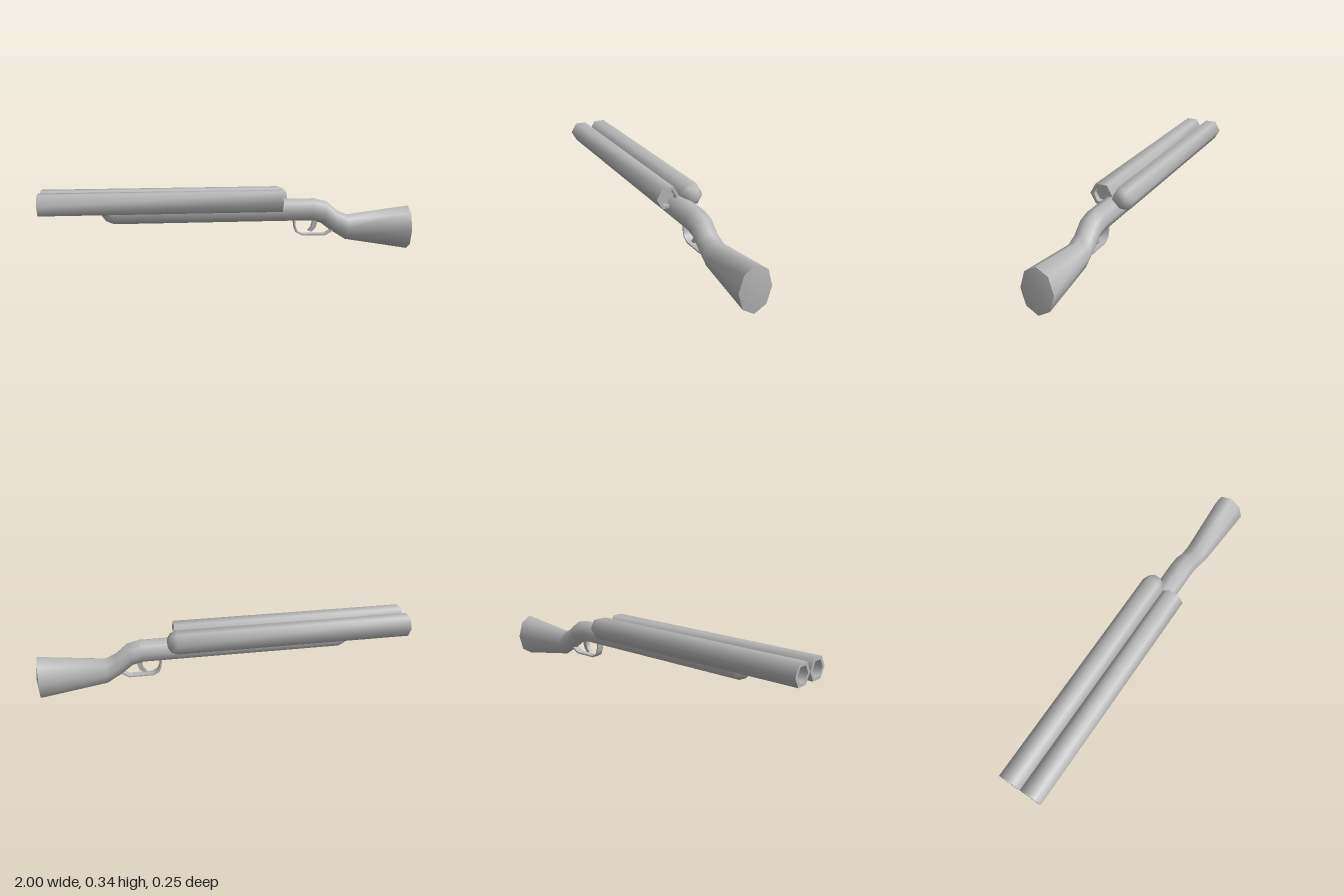
import * as THREE from 'three';
import { toCreasedNormals } from 'three/addons/utils/BufferGeometryUtils.js';

const steel = new THREE.MeshStandardMaterial({ color: 0xb8b8b8 });
steel.name = 'grey';

// Smooth across the facets, sharp at the ends
function addPart(group, name, geometry, crease = 1.2) {
  const mesh = new THREE.Mesh(toCreasedNormals(geometry, crease), steel);
  mesh.name = name;
  group.add(mesh);
  return mesh;
}

// Six-sided tube along x with a bored muzzle; rear is a list of [radius, x]
function barrel(rear) {
  const profile = [[0, -0.9], [0.045, -0.9], [0.045, -1], [0.063, -1], [0.063, 0.27], ...rear];
  const points = profile.map(([r, x]) => new THREE.Vector2(r, x));
  return new THREE.LatheGeometry(points, 6).rotateZ(-Math.PI / 2);
}

// Eight-sided loft; each section is [bottomX, bottomY, topX, topY, halfWidth]
function loft(sections, sides = 8) {
  const positions = [];
  const index = [];
  sections.forEach(([bx, by, tx, ty, w], i) => {
    for (let j = 0; j < sides; j++) {
      const a = (j / sides) * Math.PI * 2;
      const t = (1 + Math.cos(a)) / 2;
      positions.push(bx + (tx - bx) * t, by + (ty - by) * t, w * Math.sin(a));
      if (i === sections.length - 1) continue;
      const A = i * sides + j;
      const C = i * sides + ((j + 1) % sides);
      index.push(A, C, A + sides, A + sides, C, C + sides);
    }
  });
  const geometry = new THREE.BufferGeometry();
  geometry.setAttribute('position', new THREE.Float32BufferAttribute(positions, 3));
  geometry.setIndex(index);
  return geometry;
}

// Flat side outline given a width in z
function plate(outline, width) {
  const shape = new THREE.Shape(outline.map(([x, y]) => new THREE.Vector2(x, y)));
  return new THREE.ExtrudeGeometry(shape, { depth: width, bevelEnabled: false }).translate(0, 0, -width / 2);
}

export function createModel() {
  const group = new THREE.Group();
  group.name = 'doubleBarrelProp';

  // Barrels: the front one is open at the rear, the back one has a domed end
  const openEnd = [[0.045, 0.27], [0.045, 0.24], [0, 0.24]];
  const domedEnd = [[0.05, 0.3], [0.027, 0.315], [0, 0.318]];
  addPart(group, 'frontBarrel', barrel(openEnd)).position.set(0, 0.29, 0.063);
  addPart(group, 'backBarrel', barrel(domedEnd)).position.set(0, 0.29, -0.063);

  // Fore-end, grip and butt in one swept body
  addPart(group, 'stock', loft([
    [-0.685, 0.23, -0.685, 0.23, 0],
    [-0.68, 0.21, -0.68, 0.25, 0.022],
    [-0.66, 0.185, -0.66, 0.275, 0.047],
    [-0.62, 0.168, -0.62, 0.29, 0.0625],
    [0.44, 0.168, 0.455, 0.29, 0.0625],
    [0.495, 0.155, 0.525, 0.273, 0.062],
    [0.555, 0.11, 0.59, 0.218, 0.061],
    [0.635, 0.06, 0.64, 0.198, 0.064],
    [0.985, 0, 0.985, 0.241, 0.085],
    [1, 0.12, 1, 0.12, 0],
  ]));

  // Trigger guard band
  const outer = [[0.345, 0.175], [0.348, 0.135], [0.36, 0.105], [0.393, 0.087], [0.522, 0.087], [0.562, 0.112]];
  const inner = [[0.555, 0.118], [0.52, 0.095], [0.396, 0.095], [0.367, 0.11], [0.356, 0.137], [0.353, 0.175]];
  addPart(group, 'triggerGuard', plate([...outer, ...inner], 0.04), 0.8);

  // Trigger
  addPart(group, 'trigger', plate([
    [0.425, 0.112], [0.445, 0.108], [0.465, 0.125], [0.474, 0.15], [0.475, 0.18],
    [0.448, 0.18], [0.449, 0.155], [0.443, 0.13],
  ], 0.025), 0.8);

  return group;
}
